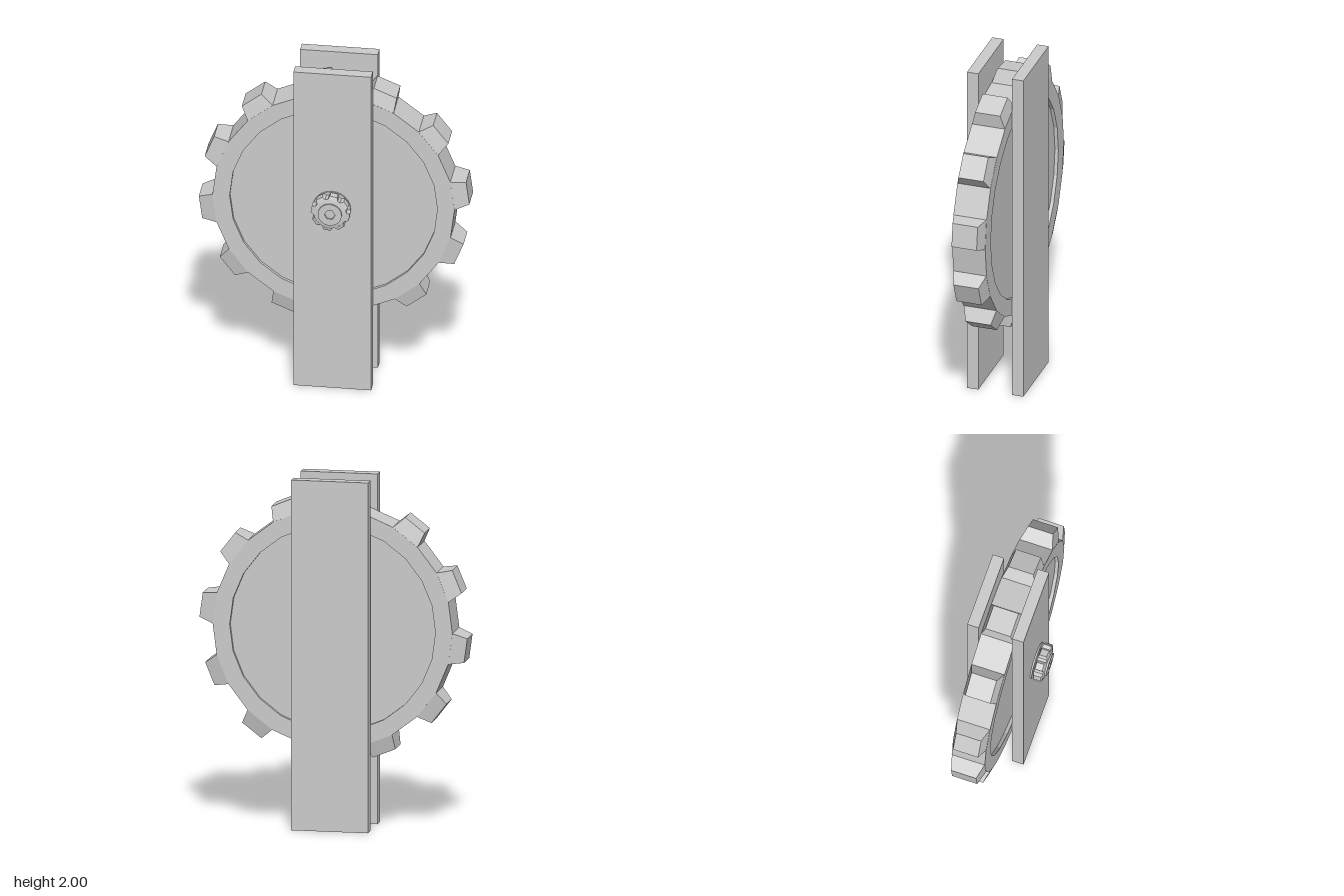
import * as THREE from 'three';

const material = new THREE.MeshStandardMaterial({ color: 0xcccccc, flatShading: true });

function addMesh(parent, name, geometry, x = 0, y = 0, z = 0) {
  const mesh = new THREE.Mesh(geometry, material);
  mesh.name = name;
  mesh.position.set(x, y, z);
  parent.add(mesh);
  return mesh;
}

// Solid of revolution about the z axis; profile is [radius, z] from back to front
function turned(profile, segments) {
  const points = profile.map(([r, z]) => new THREE.Vector2(r, z));
  return new THREE.LatheGeometry(points, segments).rotateX(Math.PI / 2);
}

// Tooth pointing along +x that narrows toward its tip in both width and depth
function toothGeometry({ root, tip, baseWidth, tipWidth, baseDepth, tipDepth }) {
  const geometry = new THREE.BoxGeometry(1, 1, 1);
  const p = geometry.attributes.position;
  for (let i = 0; i < p.count; i++) {
    const outer = p.getX(i) > 0;
    p.setXYZ(i, outer ? tip : root,
      p.getY(i) * (outer ? tipWidth : baseWidth),
      p.getZ(i) * (outer ? tipDepth : baseDepth));
  }
  geometry.computeVertexNormals();
  return geometry;
}

function addTeeth(parent, name, count, startAngle, size) {
  const geometry = toothGeometry(size);
  for (let i = 0; i < count; i++) {
    addMesh(parent, name, geometry).rotation.z = startAngle + (i * 2 * Math.PI) / count;
  }
}

export function createModel() {
  const model = new THREE.Group();
  const cx = -0.003, cy = 1.147;

  // Upright planks on both sides of the wheel
  const plank = new THREE.BoxGeometry(0.44, 2, 0.067);
  addMesh(model, 'frontPlank', plank, 0, 1, 0.092);
  addMesh(model, 'backPlank', plank, 0, 1, -0.174);

  // Wheel with a raised rim and a recessed web on each face
  const wheel = new THREE.Group();
  wheel.name = 'toothedWheel';
  wheel.position.set(cx, cy, -0.041);
  model.add(wheel);
  const half = 0.098, web = 0.078;
  const rim = addMesh(wheel, 'wheelBody', turned([
    [0, -web], [0.588, -web], [0.588, -half], [0.685, -half],
    [0.685, half], [0.588, half], [0.588, web], [0, web],
  ], 24));
  const toothAngle = THREE.MathUtils.degToRad(7.7);
  rim.rotation.z = toothAngle + Math.PI / 24;
  addTeeth(wheel, 'wheelTooth', 12, toothAngle, {
    root: 0.677, tip: 0.763, baseWidth: 0.179, tipWidth: 0.14, baseDepth: 0.195, tipDepth: 0.148,
  });

  // Lobed knob on the front plank
  const knob = new THREE.Group();
  knob.name = 'knob';
  knob.position.set(cx, cy, 0);
  model.add(knob);
  addMesh(knob, 'washer', turned([[0, 0.12], [0.108, 0.12], [0.108, 0.135], [0, 0.135]], 24));
  addMesh(knob, 'knobBody', turned([
    [0, 0.13], [0.08, 0.13], [0.08, 0.14], [0.094, 0.14], [0.094, 0.193], [0.068, 0.198], [0, 0.198],
  ], 16));
  const lobes = new THREE.Group();
  lobes.name = 'knobLobes';
  lobes.position.z = 0.167;
  knob.add(lobes);
  addTeeth(lobes, 'knobLobe', 8, THREE.MathUtils.degToRad(-10), {
    root: 0.088, tip: 0.109, baseWidth: 0.056, tipWidth: 0.042, baseDepth: 0.056, tipDepth: 0.042,
  });

  // Cap with a hexagonal socket
  const cap = new THREE.Shape().absarc(0, 0, 0.067, 0, Math.PI * 2);
  const socket = [];
  for (let i = 0; i < 6; i++) {
    const a = (i * Math.PI) / 3;
    socket.push(new THREE.Vector2(0.03 * Math.cos(a), 0.03 * Math.sin(a)));
  }
  cap.holes.push(new THREE.Path(socket));
  addMesh(knob, 'socketCap',
    new THREE.ExtrudeGeometry(cap, { depth: 0.014, bevelEnabled: false, curveSegments: 24 }), 0, 0, 0.194);

  return model;
}
